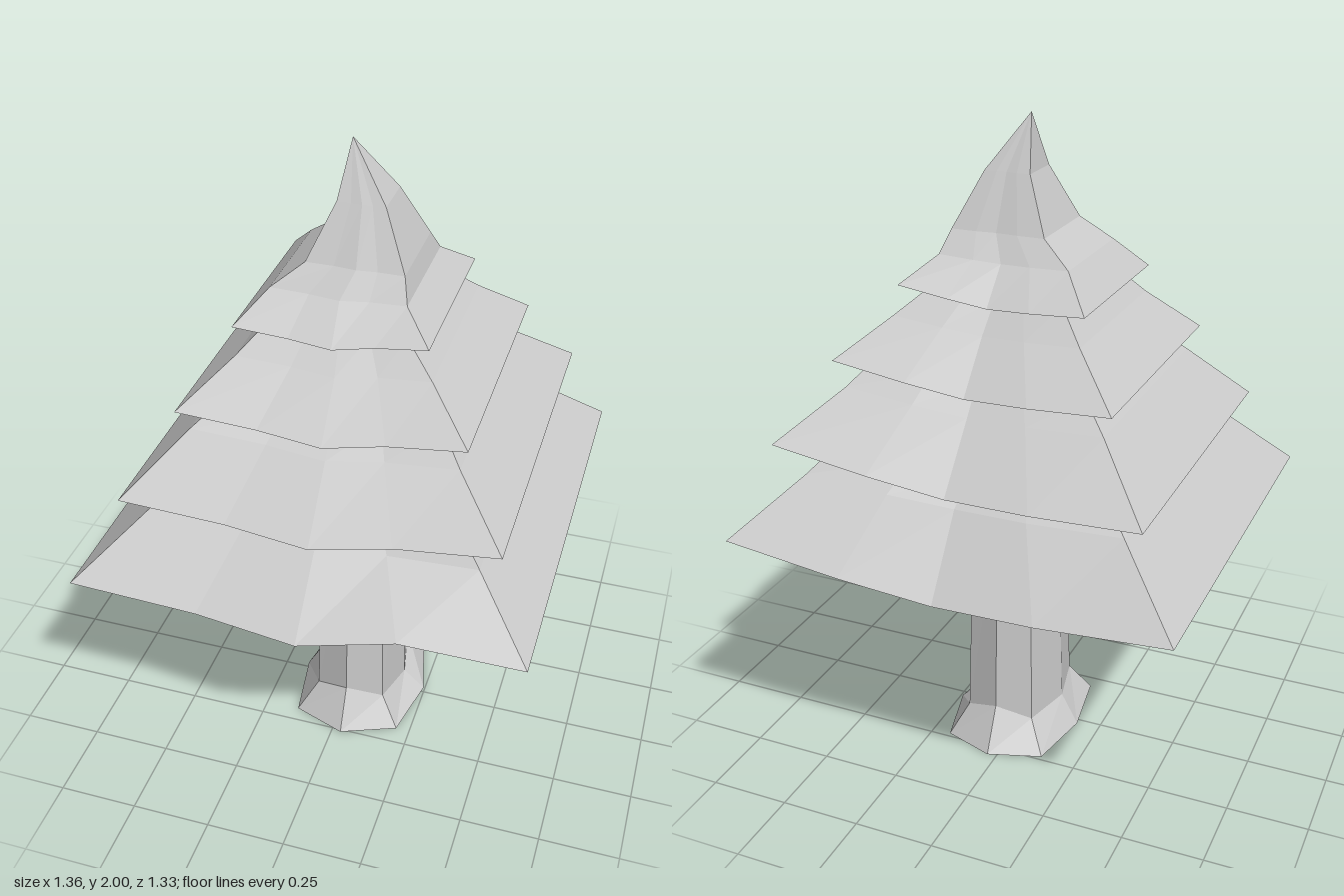
import * as THREE from 'three';

const material = new THREE.MeshStandardMaterial({ color: 0xcccccc, flatShading: true });

// Collects quads (corners counter-clockwise from outside) into a flat-shaded mesh.
function meshFromQuads(name, quads) {
  const pos = [];
  for (const [a, b, c, d] of quads) pos.push(...a, ...b, ...c, ...a, ...c, ...d);
  const geo = new THREE.BufferGeometry();
  geo.setAttribute('position', new THREE.Float32BufferAttribute(pos, 3));
  geo.computeVertexNormals();
  const mesh = new THREE.Mesh(geo, material);
  mesh.name = name;
  return mesh;
}

// Side walls between successive rings of equal length.
function loft(rings) {
  const quads = [];
  for (let r = 0; r < rings.length - 1; r++) {
    const lo = rings[r], hi = rings[r + 1], n = lo.length;
    for (let i = 0; i < n; i++) {
      const j = (i + 1) % n;
      quads.push([lo[i], lo[j], hi[j], hi[i]]);
    }
  }
  return quads;
}

// Ten-point squarish ring: front edge left to right, then back edge right to left.
// Heights run from yl (left) through a sagging middle to yr (right).
const T = [0, 0.29, 0.52, 0.73, 1];
function ring([xl, xr, zb, zf, yl, ym, yr, ymBack = ym, lift = 0.5]) {
  const edge = (z, bulge, mid, k) => T.map((t, i) => [
    xl + (xr - xl) * t,
    [yl, yl + (mid - yl) * 0.6, mid, mid + (yr - mid) * k, yr][i],
    i === 2 ? z + bulge : z,
  ]);
  const front = edge(zf, zf * 0.05, ym, lift);
  const back = edge(zb, -zb * 0.03, ymBack, 0.45);
  return [...front, ...back.reverse()];
}

function foliageTier(name, specs, apex) {
  const rings = specs.map(ring);
  if (apex) rings.push(rings[0].map(() => apex));
  const quads = loft(rings), base = rings[0];
  // underside, in strips from the front edge to the back edge
  for (let i = 0; i < 4; i++) quads.push([base[i], base[9 - i], base[8 - i], base[i + 1]]);
  return meshFromQuads(name, quads);
}

export function createModel() {
  const tree = new THREE.Group();
  tree.name = 'pineTree';

  // foliage rows: xLeft, xRight, zBack, zFront, yLeft, yMiddle, yRight, [yMiddleBack, lift]
  tree.add(foliageTier('bottomFoliage', [
    [-0.68, 0.68, -0.67, 0.63, 0.79, 0.765, 0.825, 0.745, 1],
    [-0.48, 0.50, -0.50, 0.46, 0.99, 0.97, 1.00],
    [-0.40, 0.41, -0.42, 0.39, 1.055, 1.04, 1.10],
  ]));
  tree.add(foliageTier('lowerMiddleFoliage', [
    [-0.55, 0.57, -0.56, 0.52, 1.045, 1.025, 1.105],
    [-0.38, 0.41, -0.40, 0.36, 1.225, 1.21, 1.25],
    [-0.30, 0.34, -0.33, 0.29, 1.30, 1.285, 1.33],
  ]));
  tree.add(foliageTier('upperMiddleFoliage', [
    [-0.41, 0.435, -0.425, 0.39, 1.295, 1.275, 1.335],
    [-0.27, 0.30, -0.30, 0.26, 1.43, 1.42, 1.45],
    [-0.19, 0.21, -0.23, 0.19, 1.52, 1.505, 1.53],
  ]));
  tree.add(foliageTier('topFoliage', [
    [-0.28, 0.285, -0.295, 0.25, 1.515, 1.50, 1.54],
    [-0.195, 0.20, -0.20, 0.165, 1.61, 1.605, 1.615],
    [-0.105, 0.18, -0.155, 0.12, 1.68, 1.68, 1.68],
    [-0.035, 0.105, -0.09, 0.05, 1.84, 1.84, 1.84],
  ], [-0.01, 2, -0.02]));

  // trunk: octagonal, with a flared foot; rows are x, z, y per corner
  const foot = [[0.03, 0.26, 0], [0.205, 0.19, 0], [0.245, -0.02, 0], [0.19, -0.235, 0],
    [0.03, -0.29, 0], [-0.135, -0.235, 0], [-0.175, -0.02, 0], [-0.14, 0.2, 0]];
  const waist = [[0.03, 0.19, 0.14], [0.145, 0.15, 0.1], [0.175, -0.02, 0.065], [0.14, -0.185, 0.1],
    [0.03, -0.22, 0.14], [-0.08, -0.185, 0.1], [-0.12, -0.02, 0.1], [-0.08, 0.15, 0.1]];
  const top = waist.map(([x, z]) => [0.03 + (x - 0.03) * 0.87, -0.015 + (z + 0.015) * 0.86, 0.8]);
  const rings = [foot, waist, top].map(r => r.map(([x, z, y]) => [x, y, z]));
  const quads = loft(rings), base = rings[0];
  // sole of the trunk
  for (let i = 0; i < 3; i++) quads.push([base[i], base[7 - i], base[6 - i], base[i + 1]]);
  tree.add(meshFromQuads('trunk', quads));

  return tree;
}
